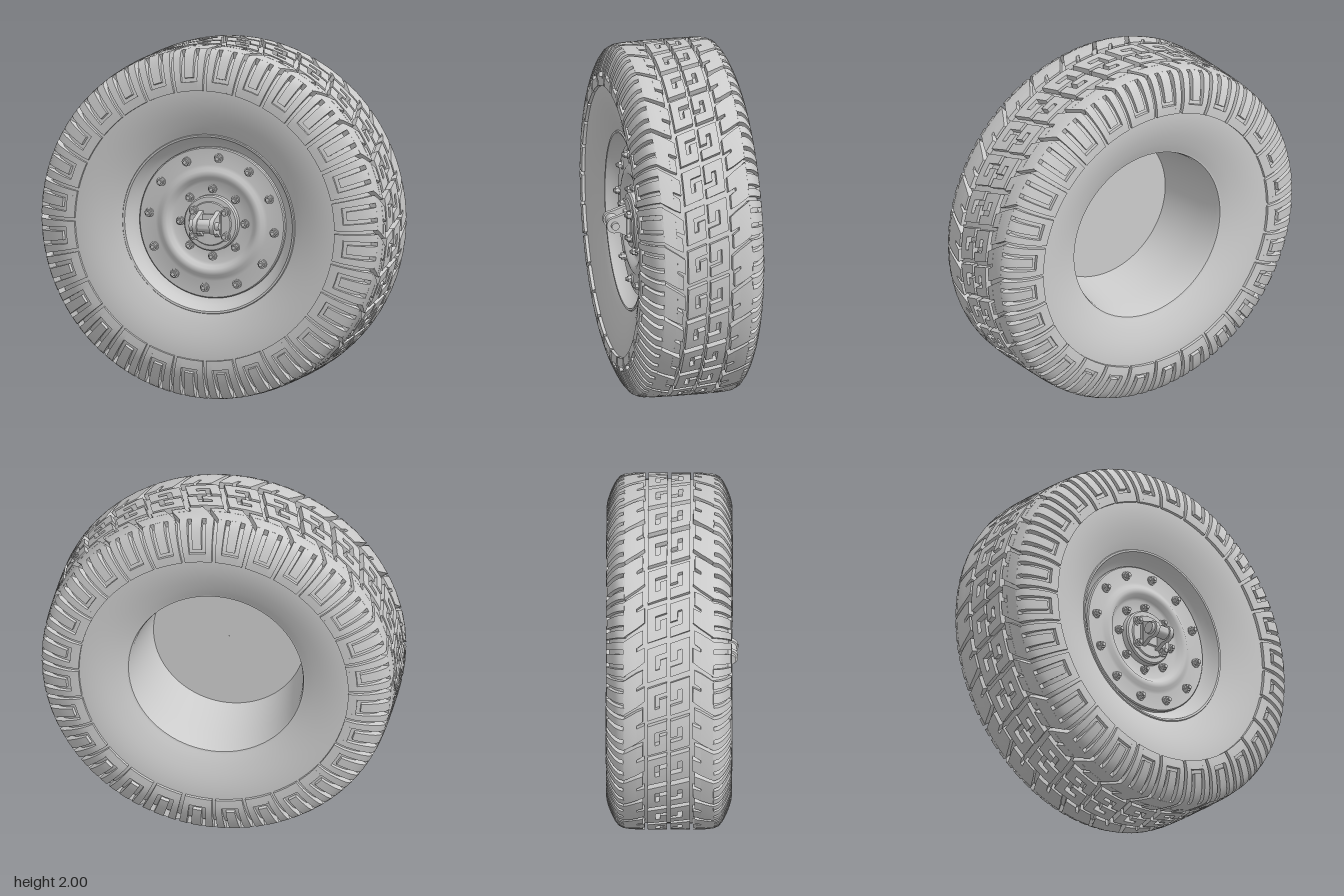
import * as THREE from 'three';
import { mergeGeometries, toCreasedNormals } from 'three/addons/utils/BufferGeometryUtils.js';

const grey = new THREE.MeshStandardMaterial({ color: 0xcccccc, side: THREE.DoubleSide });
const PITCHES = 28;
const ZC = -0.015; // middle plane of the tyre
const v2 = (x, y) => new THREE.Vector2(x, y);

function part(name, geometry, parent) {
  const mesh = new THREE.Mesh(geometry, grey);
  mesh.name = name;
  parent.add(mesh);
  return mesh;
}

// Revolve [radius, z] points about the z axis
function revolve(points, segments = 96) {
  const g = new THREE.LatheGeometry(points.map(([r, z]) => v2(r, z)), segments);
  return toCreasedNormals(g.rotateX(Math.PI / 2), 0.6);
}

// Outer tread surface from crown to sidewall, as (z offset, radius)
const treadCurve = new THREE.SplineCurve([
  v2(0, 1), v2(0.15, 0.999), v2(0.25, 0.992), v2(0.29, 0.967),
  v2(0.325, 0.905), v2(0.35, 0.83), v2(0.352, 0.765),
]);
const treadLength = treadCurve.getLength();

// One raised block: s runs across the tread, [a0, a1] and [b0, b1] are its angles at s0 and s1
function block(s0, s1, a, b) {
  if (s0 > s1) [s0, s1, a, b] = [s1, s0, b, a];
  const g = new THREE.BoxGeometry(1, 1, 1, 2, 1, Math.max(1, Math.ceil((s1 - s0) / 0.035)));
  const p = g.attributes.position;
  for (let i = 0; i < p.count; i++) {
    const t = p.getZ(i) + 0.5, k = p.getX(i) + 0.5;
    const s = THREE.MathUtils.lerp(s0, s1, t);
    const angle = THREE.MathUtils.lerp(
      THREE.MathUtils.lerp(a[0], a[1], k), THREE.MathUtils.lerp(b[0], b[1], k), t);
    const q = Math.min(1, Math.abs(s) / treadLength);
    const c = treadCurve.getPointAt(q), d = treadCurve.getTangentAt(q);
    const drop = p.getY(i) > 0 ? 0 : 0.045;
    const r = c.y - d.x * drop;
    const z = (c.x + d.y * drop) * Math.sign(s || 1);
    p.setXYZ(i, r * Math.sin(angle), r * Math.cos(angle), z + ZC);
  }
  g.computeVertexNormals();
  return g;
}

// Everything that repeats once per tread pitch
function treadPitch() {
  const list = [];
  for (const side of [1, -1]) {
    const add = (s0, s1, a, b = a) => list.push(block(side * s0, side * s1, a, b));
    // Sidewall lug: U-shaped rim around a tongue
    add(0.25, treadLength, [-0.1, -0.055], [-0.1, -0.058]);
    add(0.25, treadLength, [0.055, 0.1], [0.058, 0.1]);
    add(0.462, treadLength, [-0.06, 0.06]);
    add(0.25, 0.438, [-0.03, 0.03]);
    // Slanted shoulder block, slit at its inner end
    add(0.18, 0.255, [-0.05, 0.148], [-0.1, 0.1]);
    add(0.135, 0.18, [-0.015, 0.068], [-0.05, 0.045]);
    add(0.145, 0.18, [0.088, 0.165], [0.062, 0.148]);
    // Hooked centre block; the other side is the same turned half round
    const hook = (s0, s1, u0, u1) => {
      const at = (s) => [u0 + 0.35 * s, u1 + 0.35 * s].map((u) => u * side)
        .sort((m, n) => m - n);
      add(s0, s1, at(s0), at(s1));
    };
    hook(0.01, 0.118, -0.1, -0.045);
    hook(0.075, 0.118, -0.045, 0.035);
    hook(0.01, 0.118, 0.035, 0.09);
    hook(0.01, 0.05, -0.015, 0.035);
  }
  return mergeGeometries(list);
}

function makeTire() {
  const tire = new THREE.Group();
  tire.name = 'tire';
  const half = [
    [0.505, 0.27], [0.56, 0.293], [0.64, 0.318], [0.72, 0.332], [0.8, 0.333],
    [0.87, 0.315], [0.925, 0.28], [0.955, 0.23], [0.964, 0.12],
  ];
  const outline = [
    ...half.map(([r, z]) => v2(r, -z)), v2(0.965, 0),
    ...half.slice().reverse().map(([r, z]) => v2(r, z)),
  ];
  const smooth = new THREE.SplineCurve(outline).getPoints(54);
  part('carcass', revolve(smooth.map((p) => [p.x, p.y + ZC]), 112), tire);

  const pitch = treadPitch();
  for (let i = 0; i < PITCHES; i++) {
    part('treadBlocks', pitch, tire).rotation.z = ((i + 0.5) / PITCHES) * Math.PI * 2;
  }
  return tire;
}

// Hex nut on a washer with a stud end, pointing along +z
function nutGeometry(r) {
  const tube = (rad, len, sides, z) =>
    new THREE.CylinderGeometry(rad, rad, len, sides).rotateX(Math.PI / 2).translate(0, 0, z);
  return toCreasedNormals(mergeGeometries([
    tube(r * 1.3, 0.008, 18, 0.004),
    tube(r, 0.022, 6, 0.016),
    tube(r * 0.55, 0.036, 10, 0.02),
  ]), 0.6);
}

function boltRing(name, count, radius, z, size, offset, parent) {
  const nut = nutGeometry(size);
  for (let i = 0; i < count; i++) {
    const a = offset + (i / count) * Math.PI * 2;
    const mesh = part(name, nut, parent);
    mesh.position.set(radius * Math.sin(a), radius * Math.cos(a), z);
    mesh.rotation.z = -a;
  }
}

function makeRim() {
  const rim = new THREE.Group();
  rim.name = 'rim';
  part('rimLip', revolve([
    [0.512, 0.25], [0.505, 0.264], [0.494, 0.262], [0.482, 0.235], [0.462, 0.205],
    [0.445, 0.185], [0.425, 0.172],
  ]), rim);
  part('rimFace', revolve([
    [0.428, 0.165], [0.428, 0.196], [0.422, 0.203], [0.33, 0.203], [0.312, 0.208],
    [0.295, 0.22], [0.278, 0.224], [0.26, 0.218], [0.243, 0.196], [0.228, 0.187],
    [0.158, 0.187],
  ]), rim);
  part('rimBarrel', revolve([
    [0.001, 0.16], [0.43, 0.16], [0.447, 0.03], [0.47, -0.12], [0.488, -0.25],
    [0.497, -0.28], [0.508, -0.283],
  ]), rim);
  boltRing('rimBolt', 12, 0.37, 0.203, 0.02, 0.11, rim);
  boltRing('hubBolt', 8, 0.19, 0.187, 0.019, 0, rim);
  return rim;
}

function makeHub() {
  const hub = new THREE.Group();
  hub.name = 'hub';
  part('hubCap', revolve([
    [0.158, 0.18], [0.158, 0.22], [0.15, 0.23], [0.125, 0.232], [0.12, 0.24], [0.001, 0.24],
  ], 48), hub);

  // Two rounded ears standing on the cap, drawn in the y-z plane
  const ear = new THREE.Shape();
  ear.moveTo(-0.075, 0.23);
  ear.lineTo(-0.07, 0.255);
  ear.lineTo(-0.045, 0.3);
  ear.absarc(0, 0.325, 0.046, Math.PI, 0, true);
  ear.lineTo(0.07, 0.255);
  ear.lineTo(0.075, 0.23);
  const earGeometry = new THREE.ExtrudeGeometry(ear, { depth: 0.026, bevelEnabled: false, curveSegments: 14 });
  // Shape x becomes y and shape y becomes z
  earGeometry.applyMatrix4(new THREE.Matrix4().set(0, 0, 1, -0.013, 1, 0, 0, 0, 0, 1, 0, 0, 0, 0, 0, 1));
  for (const side of [1, -1]) {
    part('shackleEar', earGeometry, hub).position.x = side * 0.05;
    for (const up of [1, -1]) {
      part('shackleNut', nutGeometry(0.022), hub).position.set(side * 0.092, up * 0.068, 0.236);
    }
  }
  // Pin, its head and the sleeve between the ears
  const along = (name, r, len, x, sides) => {
    const g = toCreasedNormals(new THREE.CylinderGeometry(r, r, len, sides).rotateZ(Math.PI / 2), 0.6);
    part(name, g, hub).position.set(x, 0, 0.325);
  };
  along('shacklePin', 0.022, 0.17, 0, 20);
  along('pinHead', 0.034, 0.02, -0.075, 20);
  along('pinSleeve', 0.036, 0.08, 0, 24);
  part('shackleBase', new THREE.BoxGeometry(0.14, 0.11, 0.02), hub).position.z = 0.248;
  return hub;
}

export function createModel() {
  const wheel = new THREE.Group();
  wheel.name = 'wheel';
  wheel.add(makeTire(), makeRim(), makeHub());
  wheel.position.y = 1;
  const model = new THREE.Group();
  model.name = 'offRoadWheel';
  model.add(wheel);
  return model;
}
